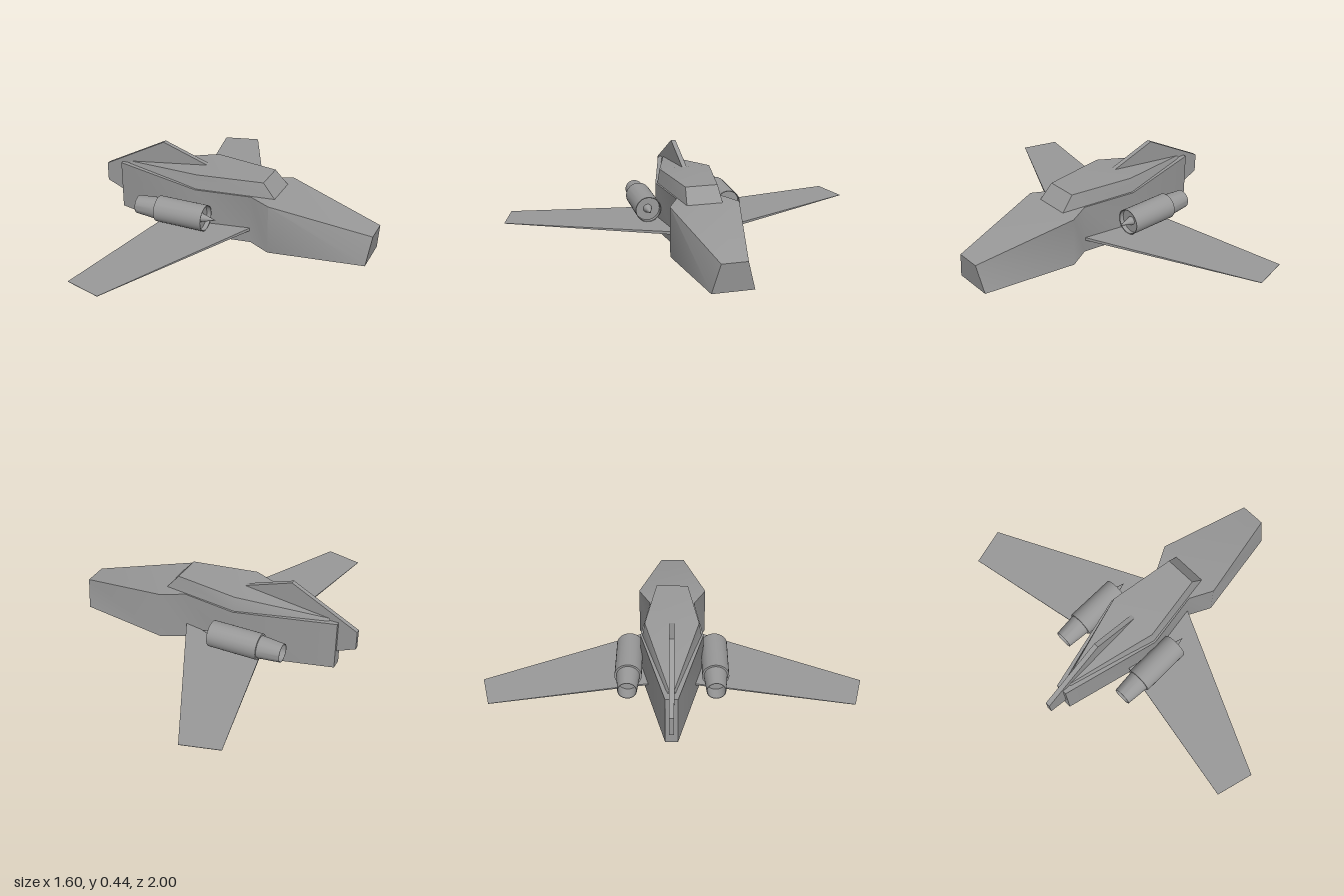
import * as THREE from 'three';
import { toCreasedNormals } from 'three/addons/utils/BufferGeometryUtils.js';

const grey = new THREE.MeshStandardMaterial({ color: 0x999999 });
const greyDouble = new THREE.MeshStandardMaterial({ color: 0x999999, side: THREE.DoubleSide });

// Closed skin over four-cornered rings, each counter-clockwise as seen from the last ring's end.
function loft(rings) {
  const index = [];
  for (let i = 0; i < rings.length - 1; i++) {
    for (let k = 0; k < 4; k++) {
      const a = i * 4 + k, b = i * 4 + (k + 1) % 4, c = b + 4, d = a + 4;
      index.push(a, b, c, a, c, d);
    }
  }
  const e = (rings.length - 1) * 4;
  index.push(0, 2, 1, 0, 3, 2, e, e + 1, e + 2, e, e + 2, e + 3);
  const geo = new THREE.BufferGeometry();
  geo.setAttribute('position', new THREE.Float32BufferAttribute(rings.flat(2), 3));
  geo.setIndex(index);
  return toCreasedNormals(geo, 0.75);
}

// Cross-section of a hull: bottom x, y, half width, then top x, y, half width.
const section = (xb, yb, wb, xt, yt, wt) =>
  [[xb, yb, wb], [xb, yb, -wb], [xt, yt, -wt], [xt, yt, wt]];

export function createModel() {
  const model = new THREE.Group();
  const add = (name, geo, mat = grey) => {
    const mesh = new THREE.Mesh(geo, mat);
    mesh.name = name;
    model.add(mesh);
    return mesh;
  };

  // Fuselage: pointed tail, pinched waist, wide forebody and chamfered nose
  add('fuselage', loft([
    section(-0.697, 0, 0.032, -0.697, 0.275, 0.032),
    section(-0.165, 0, 0.167, -0.165, 0.275, 0.167),
    section(0.14, 0, 0.122, 0.14, 0.275, 0.122),
    section(0.265, 0, 0.187, 0.265, 0.275, 0.187),
    section(0.78, 0, 0.11, 0.8, 0.157, 0.068),
  ]));

  // Canopy: sloped windscreen, flat roof, long taper to the tail
  add('canopy', loft([
    section(-0.65, 0.27, 0.022, -0.645, 0.287, 0.012),
    section(-0.165, 0.27, 0.157, -0.165, 0.354, 0.143),
    section(0.27, 0.27, 0.097, 0.197, 0.354, 0.087),
  ]));

  // Tail fin: flat plate
  const finShape = new THREE.Shape([
    [-0.8, 0.245], [-0.8, 0.14], [-0.69, 0.093], [-0.4, 0.2], [-0.165, 0.354], [-0.43, 0.443],
  ].map(([x, y]) => new THREE.Vector2(x, y)));
  const fin = new THREE.ExtrudeGeometry(finShape, { depth: 0.026, bevelEnabled: false });
  add('tailFin', fin.translate(0, 0, -0.013));

  // Engine shell: rear nozzle, barrel and recessed intake in one profile
  const shell = toCreasedNormals(new THREE.LatheGeometry([
    [0, -0.4], [0.052, -0.4], [0.047, -0.48], [0.05, -0.48], [0.061, -0.355],
    [0.071, -0.355], [0.071, -0.075], [0.067, -0.075], [0.067, -0.1], [0, -0.1],
  ].map(([r, y]) => new THREE.Vector2(r, y)), 32), 0.5).rotateZ(-Math.PI / 2);
  const spike = new THREE.ConeGeometry(0.024, 0.085, 24).rotateZ(-Math.PI / 2).translate(-0.0575, 0, 0);

  for (const [side, s] of [['left', 1], ['right', -1]]) {
    // Thin swept wing, root to tip
    const root = [[-0.325, 0.07, 0.1 * s], [0.147, 0.07, 0.1 * s],
      [0.147, 0.087, 0.1 * s], [-0.325, 0.08, 0.1 * s]];
    const tip = [[-0.485, 0.068, 0.945 * s], [-0.285, 0.068, s],
      [-0.285, 0.07, s], [-0.485, 0.07, 0.945 * s]];
    add(side + 'Wing', loft(s > 0 ? [root, tip] : [tip, root]));

    // Engine above the wing
    add(side + 'Engine', shell, greyDouble).position.set(0, 0.152, 0.228 * s);
    add(side + 'IntakeSpike', spike).position.set(0, 0.152, 0.228 * s);
  }
  return model;
}
